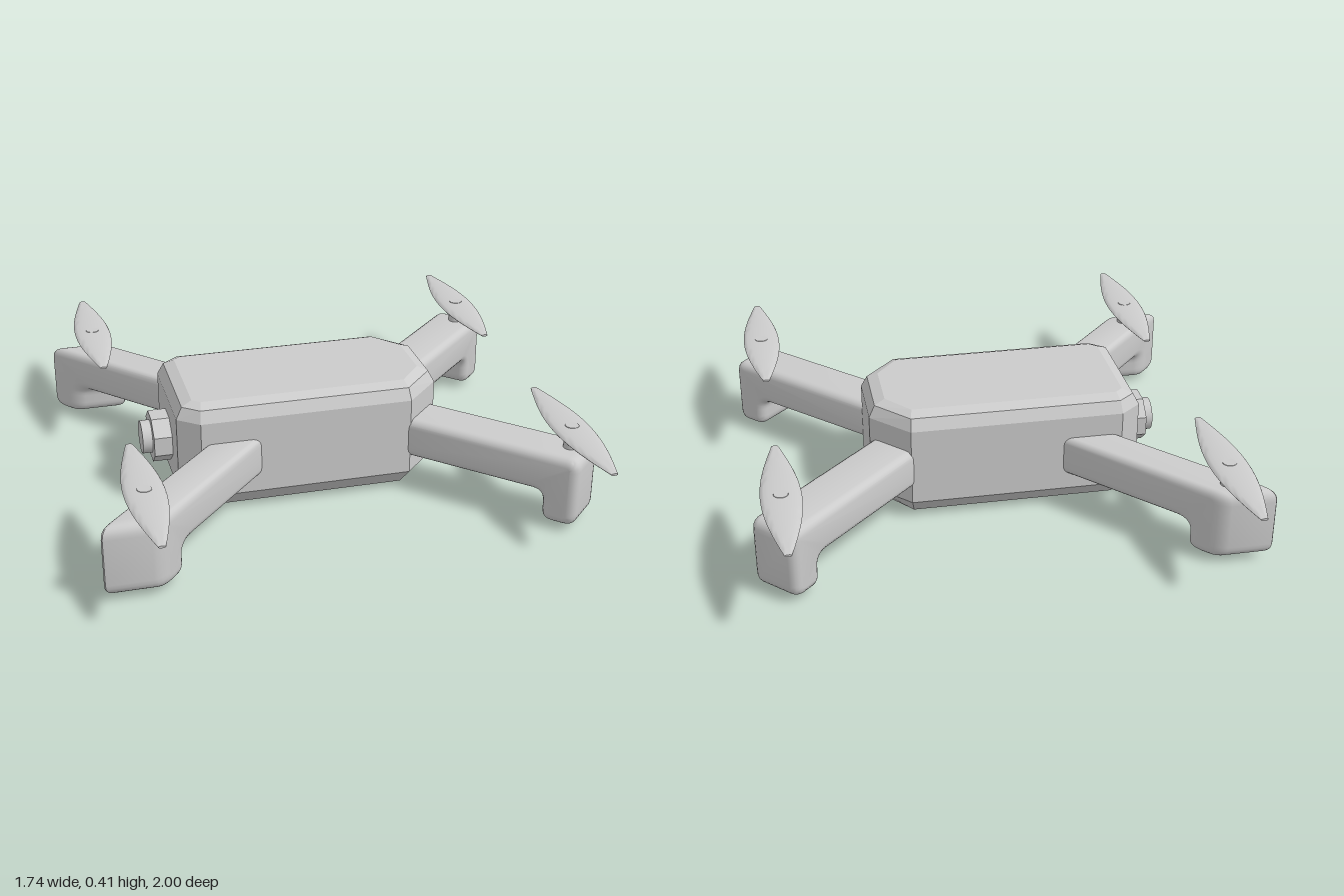
import * as THREE from 'three';
import { toCreasedNormals } from 'three/addons/utils/BufferGeometryUtils.js';
import { ConvexGeometry } from 'three/addons/geometries/ConvexGeometry.js';

const material = new THREE.MeshStandardMaterial({ color: 0xcccccc });

function addMesh(parent, name, geometry, x = 0, y = 0, z = 0) {
  const mesh = new THREE.Mesh(geometry, material);
  mesh.name = name;
  mesh.position.set(x, y, z);
  parent.add(mesh);
  return mesh;
}

// Hull: stacked eight-sided outlines, inset at the bottom and the top edge
function bodyGeometry() {
  const levels = [[0, 0.065], [0.07, 0], [0.355, 0], [0.397, 0.022], [0.413, 0.06]];
  const points = [];
  for (const [y, d] of levels) {
    for (const side of [-1, 1]) {
      points.push(
        new THREE.Vector3(-0.54 + d, y, side * (0.2 - d * 0.4)),
        new THREE.Vector3(-0.465 + d * 0.2, y, side * (0.26 - d)),
        new THREE.Vector3(0.295 - d * 0.2, y, side * (0.26 - d)),
        new THREE.Vector3(0.425 - d, y, side * (0.125 - d * 0.4)),
      );
    }
  }
  return new ConvexGeometry(points);
}

// Closed shape whose corners [x, y, radius] are rounded
function roundedShape(corners) {
  const shape = new THREE.Shape();
  const n = corners.length;
  corners.forEach(([x, y, r], i) => {
    const p = new THREE.Vector2(x, y);
    const toward = (c) => new THREE.Vector2(c[0], c[1]).sub(p).setLength(r).add(p);
    const a = toward(corners[(i + n - 1) % n]);
    const b = toward(corners[(i + 1) % n]);
    if (i === 0) shape.moveTo(a.x, a.y);
    else shape.lineTo(a.x, a.y);
    if (r > 0) shape.quadraticCurveTo(x, y, b.x, b.y);
  });
  shape.closePath();
  return shape;
}

// Arm with a drop-down motor pod: side profile given a width, then laid along a direction
function armGeometry({ start, pod, end, width, origin, along, across }, side) {
  const bevel = 0.03;
  const shape = roundedShape([
    [start, 0.13, 0], [pod, 0.13, 0.04], [pod, 0.02, 0.04],
    [end, 0.02, 0.045], [end, 0.275, 0.045], [start, 0.275, 0],
  ]);
  const geometry = new THREE.ExtrudeGeometry(shape, {
    depth: width - 2 * bevel, bevelThickness: bevel, bevelSize: bevel,
    bevelOffset: -bevel, bevelSegments: 4, curveSegments: 6,
  });
  geometry.translate(0, 0, bevel - width / 2);
  const s = new THREE.Vector3(along[0], 0, along[1] * side);
  const up = new THREE.Vector3(0, 1, 0);
  const t = new THREE.Vector3(across[0], 0, across[1] * side);
  if (s.clone().cross(up).dot(t) < 0) t.negate();
  geometry.applyMatrix4(new THREE.Matrix4().makeBasis(s, up, t).setPosition(origin, 0, 0));
  return toCreasedNormals(geometry, 0.6);
}

// Propeller: lens-shaped section, widest in the middle, with small blunt tips
function propellerGeometry() {
  const half = 0.339;
  const geometry = new THREE.CylinderGeometry(1, 1, 2 * half, 20, 20);
  geometry.rotateX(Math.PI / 2);
  const pos = geometry.attributes.position;
  for (let i = 0; i < pos.count; i++) {
    const u = pos.getZ(i) / half;
    const bulge = Math.cos((u * Math.PI) / 2);
    pos.setX(i, pos.getX(i) * (0.012 + 0.056 * bulge));
    pos.setY(i, pos.getY(i) * (0.004 + 0.01 * bulge));
  }
  return toCreasedNormals(geometry, 0.9);
}

export function createModel() {
  const drone = new THREE.Group();
  drone.name = 'drone';

  addMesh(drone, 'body', bodyGeometry());

  // Camera on the -x end
  const mount = new THREE.CylinderGeometry(0.105, 0.105, 0.09, 8);
  mount.rotateY(Math.PI / 8).rotateZ(Math.PI / 2).scale(1, 0.86, 1);
  addMesh(drone, 'cameraMount', toCreasedNormals(mount, 0.5), -0.56, 0.203, 0);
  const lens = new THREE.CylinderGeometry(0.06, 0.06, 0.06, 32);
  lens.rotateZ(Math.PI / 2);
  addMesh(drone, 'cameraLens', lens, -0.61, 0.203, 0);

  // The -x arms have ends square to z, the +x arms have ends square to the arm
  const h = Math.SQRT1_2;
  const arms = [
    { start: 0.12, pod: 0.635, end: 0.737, width: 0.206, origin: -0.119,
      along: [-0.91, 1], across: [1, 0], rotor: [-0.722, 0.661] },
    { start: 0.15, pod: 0.79, end: 0.915, width: 0.187, origin: 0.16,
      along: [h, h], across: [h, -h], rotor: [0.764, 0.589] },
  ];
  const propeller = propellerGeometry();
  const shaft = new THREE.CylinderGeometry(0.025, 0.025, 0.08, 20);
  const cap = new THREE.CylinderGeometry(0.024, 0.028, 0.012, 20);

  for (const arm of arms) {
    for (const side of [-1, 1]) {
      const group = new THREE.Group();
      group.name = (arm.origin < 0 ? 'right' : 'left') + (side > 0 ? 'Front' : 'Back') + 'Rotor';
      drone.add(group);
      const [x, z] = arm.rotor;
      addMesh(group, 'arm', armGeometry(arm, side));
      addMesh(group, 'shaft', shaft, x, 0.3, z * side);
      addMesh(group, 'propeller', propeller, x, 0.344, z * side);
      addMesh(group, 'hubCap', cap, x, 0.353, z * side);
    }
  }
  return drone;
}
